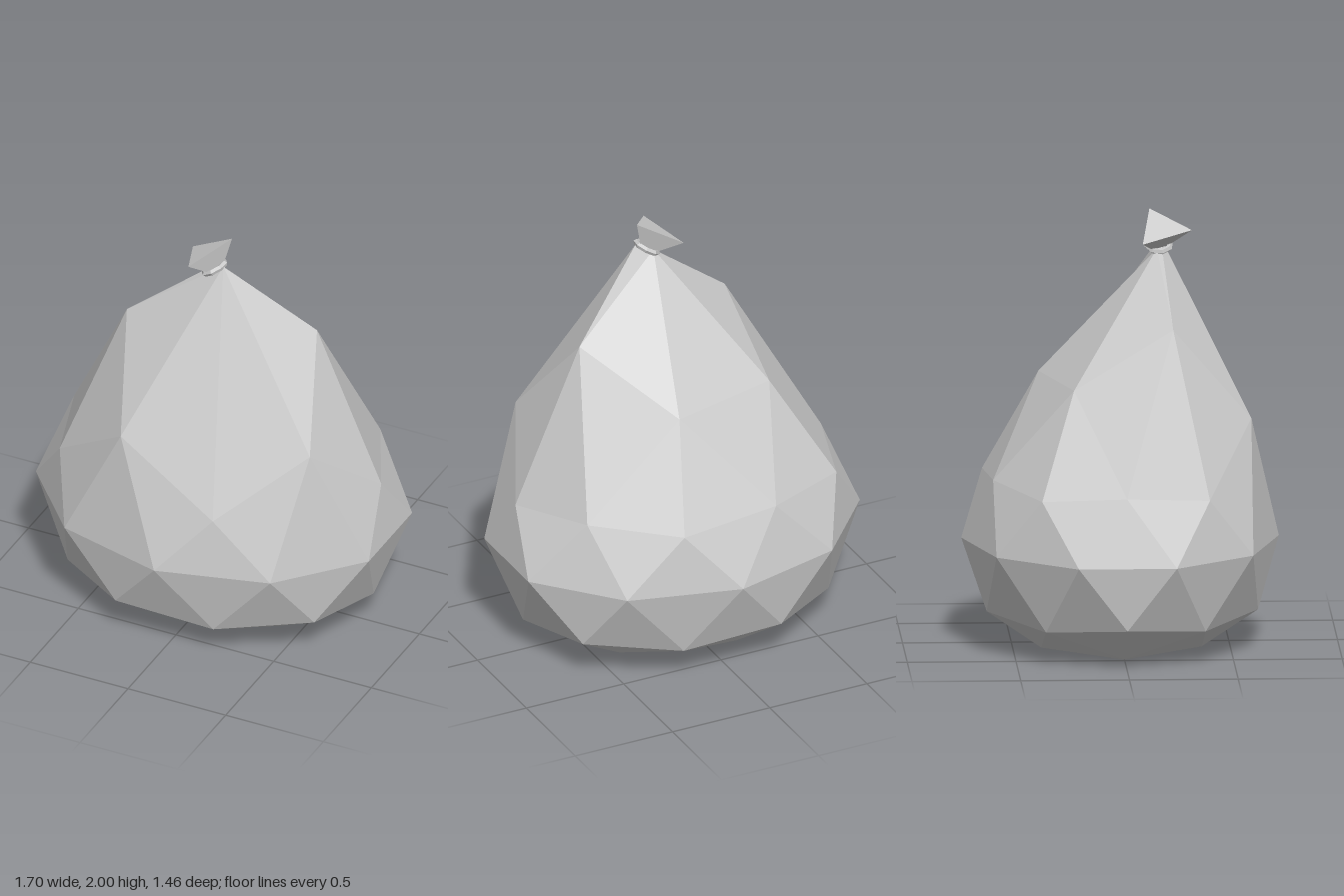
import * as THREE from 'three';
import { ConvexGeometry } from 'three/addons/geometries/ConvexGeometry.js';

const material = new THREE.MeshStandardMaterial({ color: 0xcccccc, flatShading: true });
const DEPTH = 0.815; // the sack is flatter front to back

// Point on a ring: angle in degrees, from +x towards +z
function ringPoint(radius, degrees, y) {
  const a = THREE.MathUtils.degToRad(degrees);
  return [radius * Math.cos(a), y, DEPTH * radius * Math.sin(a)];
}

// One half of a subdivided icosahedron: pole, inner ring, two staggered rings, equator
function halfSack({ pole, inner, corner, middle, turn, flip }) {
  const out = [];
  const T = (k) => inner[k % 5];
  const O = (k) => ringPoint(0.805, 72 * k + turn, corner);
  const M = (k) => ringPoint(0.766, 72 * k + 36 + turn, middle[k % 5]);
  const E = (j) => ringPoint(0.896, 36 * j + 18 + turn, 0.49);
  const face = (a, b, c) => out.push(...a, ...(flip ? c : b), ...(flip ? b : c));
  for (let k = 0; k < 5; k++) {
    face(pole, T(k), T(k + 1));
    face(T(k), O(k), M(k));
    face(T(k), M(k), T(k + 1));
    face(T(k + 1), M(k), O(k + 1));
    face(O(k), E(2 * k), M(k));
    face(M(k), E(2 * k), E(2 * k + 1));
    face(M(k), E(2 * k + 1), O(k + 1));
    face(O(k), E(2 * k - 1), E(2 * k));
  }
  return out;
}

function sackGeometry() {
  // Upper inner ring, with one corner gathered into the neck
  const upperInner = [1.52, 0, 1.52, 1.24, 1.24].map((y, k) => ringPoint(0.476, 72 * k, y));
  upperInner[1] = [0.09, 1.87, 0.19];
  const lowerInner = [0, 1, 2, 3, 4].map((k) => ringPoint(0.476, 72 * k + 180, 0));
  const positions = [
    ...halfSack({
      pole: [0.01, 1.83, 0.17], inner: upperInner, corner: 0.77,
      middle: [1.08, 1.08, 0.8, 0.8, 0.8], turn: 0, flip: true,
    }),
    ...halfSack({
      pole: [0, 0, 0], inner: lowerInner, corner: 0.19,
      middle: [0.155, 0.155, 0.155, 0.155, 0.155], turn: 180, flip: false,
    }),
  ];
  const geometry = new THREE.BufferGeometry();
  geometry.setAttribute('position', new THREE.Float32BufferAttribute(positions, 3));
  geometry.computeVertexNormals();
  return geometry;
}

export function createModel() {
  const group = new THREE.Group();
  const add = (name, geometry) => {
    const mesh = new THREE.Mesh(geometry, material);
    mesh.name = name;
    group.add(mesh);
    return mesh;
  };

  add('sack', sackGeometry());

  // Tie wrapped round the neck, tilted to the side
  const neck = new THREE.Vector3(0.04, 1.845, 0.18);
  const axis = new THREE.Vector3(-0.51, 0.86, 0).normalize();
  const tie = add('tie', new THREE.TorusGeometry(0.054, 0.014, 5, 8));
  tie.position.copy(neck);
  tie.quaternion.setFromUnitVectors(new THREE.Vector3(0, 0, 1), axis);

  // Gathered end flaring out of the tie as a three-sided funnel
  const rim = [[-0.11, 1.87, 0.1], [-0.02, 1.92, 0.33], [0.11, 2, 0.14]].map((p) => new THREE.Vector3(...p));
  const centre = rim[0].clone().add(rim[1]).add(rim[2]).divideScalar(3);
  const base = rim.map((p) => p.clone().sub(centre).multiplyScalar(0.33).add(neck));
  add('gatheredEnd', new ConvexGeometry([...rim, ...base]));

  return group;
}
